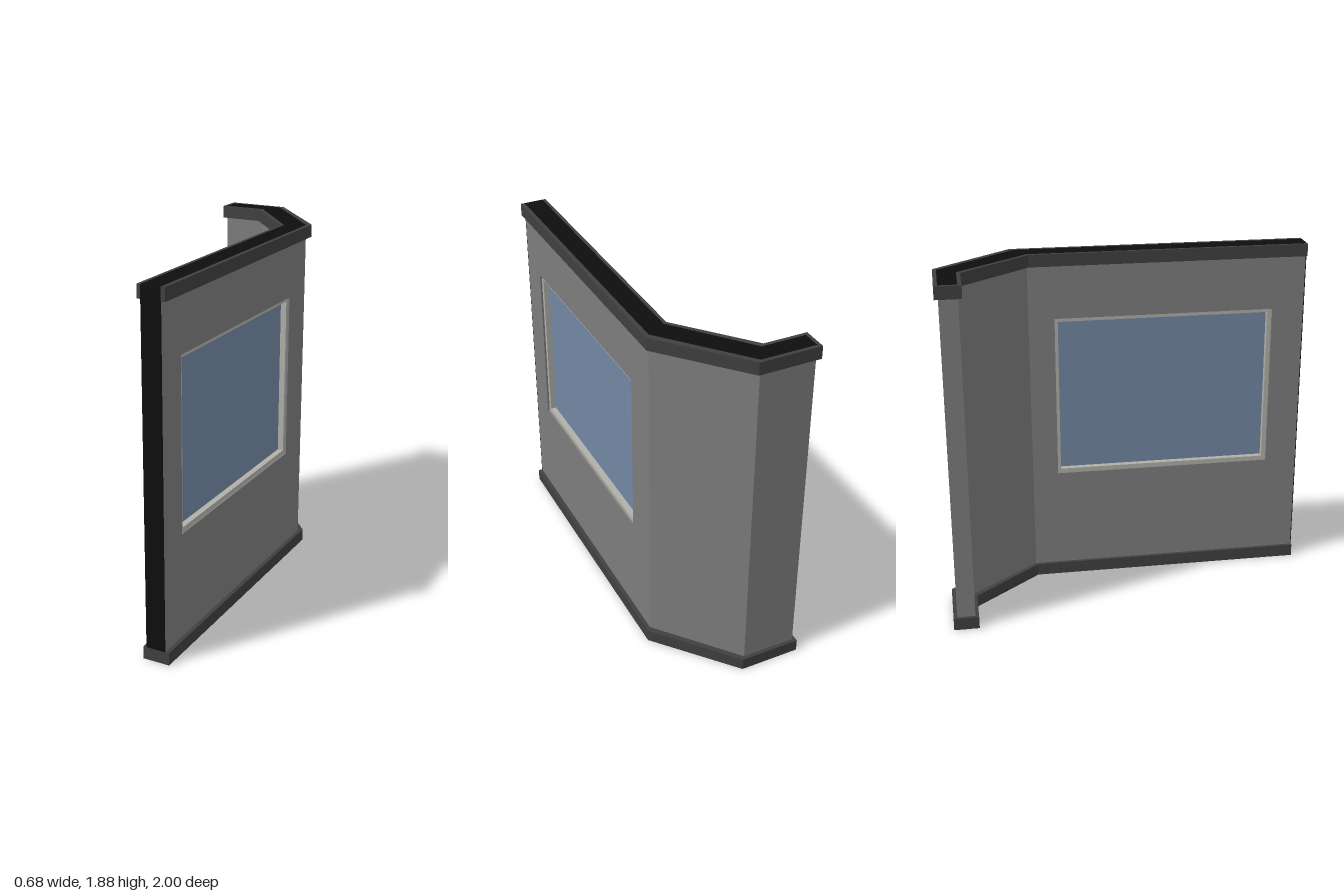
import * as THREE from 'three';

const mat = (name, color) => {
  const m = new THREE.MeshStandardMaterial({ color });
  m.name = name;
  return m;
};

export function createModel() {
  const model = new THREE.Group();
  model.name = 'windowWall';

  const wallGrey = mat('wallGrey', 0x7c7c7c);
  const trimGrey = mat('trimGrey', 0x3f3f3f);
  const cutBlack = mat('cutBlack', 0x0d0d0d);
  const frameGrey = mat('frameGrey', 0xb0b0a9);
  const glassBlue = mat('glassBlue', 0x7286a3);

  const H = 1.88, TRIM = 0.067, SKIN = 0.004;
  const X0 = 0.212, X1 = 0.316, JOIN = -0.5;

  // Plan outlines as [x, z], outer side first, then the inner side back to the front end
  const trimPlan = [[0.338, 1], [0.338, -0.593], [-0.015, -1], [-0.34, -1],
    [-0.34, -0.865], [-0.112, -0.865], [0.194, -0.503], [0.194, 1]];
  const wallPlan = [[X1, 1], [X1, -0.57], [-0.032, -0.98], [-0.322, -0.98],
    [-0.322, -0.884], [-0.092, -0.884], [X0, -0.512], [X0, 1]];
  const cornerPlan = wallPlan.map(([x, z]) => [x, Math.min(z, JOIN)]);

  const add = (name, geometry, material) => {
    const mesh = new THREE.Mesh(geometry, material);
    mesh.name = name;
    model.add(mesh);
    return mesh;
  };

  // Plan outline raised from y0 to y1
  const raise = (plan, y0, y1) => {
    const shape = new THREE.Shape(plan.map(([x, z]) => new THREE.Vector2(x, -z)));
    return new THREE.ExtrudeGeometry(shape, { depth: y1 - y0, bevelEnabled: false })
      .rotateX(-Math.PI / 2).translate(0, y0, 0);
  };

  // Rectangle in the z-y plane with an optional opening, spanning x0 to x1
  const rect = ({ z0, z1, y0, y1 }) => [[-z1, y0], [-z0, y0], [-z0, y1], [-z1, y1]]
    .map(([u, y]) => new THREE.Vector2(u, y));
  const panel = (outer, hole, x0, x1) => {
    const shape = new THREE.Shape(rect(outer));
    if (hole) shape.holes.push(new THREE.Path(rect(hole).reverse()));
    return new THREE.ExtrudeGeometry(shape, { depth: x1 - x0, bevelEnabled: false })
      .rotateY(Math.PI / 2).translate(x0, 0, 0);
  };

  const opening = { z0: -0.373, z1: 0.822, y0: 0.622, y1: 1.522 };
  const pane = { z0: -0.355, z1: 0.798, y0: 0.645, y1: 1.502 };

  // Wall: angled corner and long straight run with the window opening
  add('cornerWall', raise(cornerPlan, TRIM, H - SKIN), wallGrey);
  add('windowPanel', panel({ z0: JOIN, z1: 1 - SKIN, y0: TRIM, y1: H - SKIN }, opening, X0, X1), wallGrey);

  // Black cut faces on the top and the front end
  add('topCutFace', raise(wallPlan, H - SKIN, H), cutBlack);
  const end = new THREE.BoxGeometry(X1 - X0, H - SKIN - TRIM, SKIN);
  add('endCutFace', end, cutBlack).position.set((X0 + X1) / 2, (H - SKIN + TRIM) / 2, 1 - SKIN / 2);

  // Trim: solid skirting, and a cornice that wraps the wall
  add('skirting', raise(trimPlan, 0, TRIM), trimGrey);
  add('cornice', raise([...trimPlan, ...[...wallPlan].reverse()], H - TRIM, H), trimGrey);

  // Window
  add('windowFrame', panel(opening, pane, X0 + 0.01, X1 - 0.01), frameGrey);
  add('windowGlass', panel(pane, null, X0 + 0.042, X1 - 0.042), glassBlue);

  return model;
}
